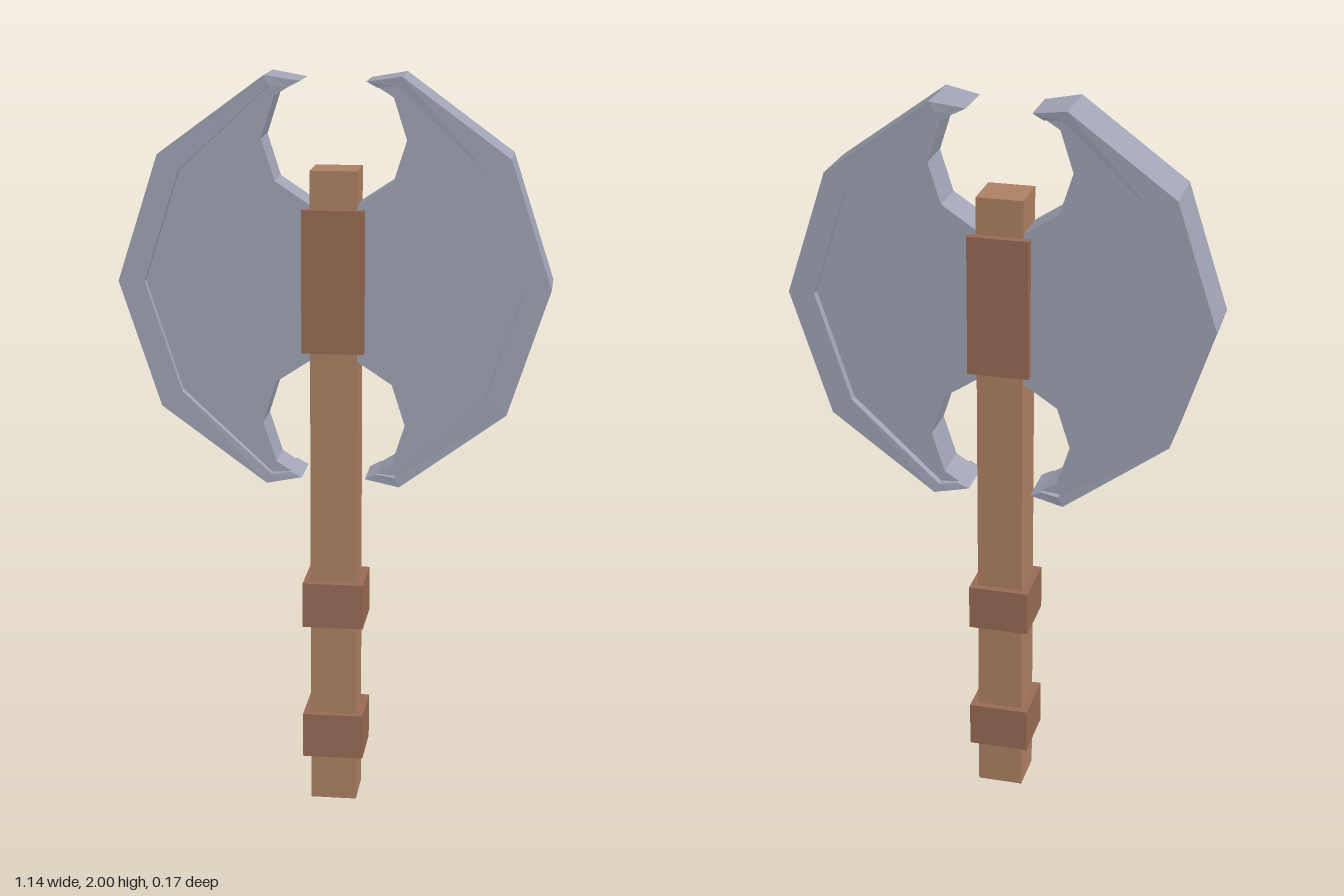
import * as THREE from 'three';

const CY = 1.458; // height of the blades' middle

const mat = (color) => new THREE.MeshStandardMaterial({ color, flatShading: true });

// Thick cutting rim: rectangular cross-sections swept from the top hook to the bottom hook
function rimGeometry() {
  // outer x, dy, half depth, inner x, dy, half depth
  const half = [
    [0.085, 0.527, 0.066, 0.115, 0.512, 0.07],
    [0.178, 0.542, 0.081, 0.165, 0.517, 0.079],
    [0.46, 0.336, 0.081, 0.405, 0.294, 0.081],
  ];
  const lower = half.map(([a, b, c, d, e, f]) => [a, -b, c, d, -e, f]).reverse();
  const rings = [...half, [0.57, 0, 0.081, 0.5, 0, 0.081], ...lower].map(([ox, oy, oz, ix, iy, iz]) => [
    [ox, CY + oy, oz], [ix, CY + iy, iz], [ix, CY + iy, -iz], [ox, CY + oy, -oz],
  ]);
  const pos = [];
  const quad = (a, b, c, d) => pos.push(...a, ...b, ...c, ...a, ...c, ...d);
  for (let i = 0; i < rings.length - 1; i++) {
    const r = rings[i], s = rings[i + 1];
    for (let k = 0; k < 4; k++) quad(r[k], r[(k + 1) % 4], s[(k + 1) % 4], s[k]);
  }
  quad(...[...rings[0]].reverse());
  quad(...rings[rings.length - 1]);
  const g = new THREE.BufferGeometry();
  g.setAttribute('position', new THREE.Float32BufferAttribute(pos, 3));
  g.computeVertexNormals();
  return g;
}

// Thinner plate filling the rim, with a scooped notch above and below
function plateGeometry() {
  const depth = 0.116;
  const half = [[0, 0.2], [0.055, 0.202], [0.155, 0.268], [0.19, 0.378], [0.155, 0.487], [0.115, 0.512],
    [0.17, 0.522], [0.43, 0.312]];
  const pts = [...half, [0.53, 0], ...half.map(([x, y]) => [x, -y]).reverse()];
  const shape = new THREE.Shape(pts.map(([x, y]) => new THREE.Vector2(x, CY + y)));
  const g = new THREE.ExtrudeGeometry(shape, { depth, bevelEnabled: false });
  return g.translate(0, 0, -depth / 2);
}

export function createModel() {
  const model = new THREE.Group();
  model.name = 'doubleAxe';
  const wood = mat(0xae8163), wrap = mat(0x996b55), steel = mat(0xa0a4b5);

  const add = (parent, name, geometry, material) => {
    const mesh = new THREE.Mesh(geometry, material);
    mesh.name = name;
    parent.add(mesh);
    return mesh;
  };
  const box = (name, w, y0, y1, d, z, material) =>
    add(model, name, new THREE.BoxGeometry(w, y1 - y0, d), material).position.set(0, (y0 + y1) / 2, z);

  // Square shaft and its two grip bands
  box('handle', 0.125, 0, 1.755, 0.125, 0, wood);
  box('lowerGripBand', 0.165, 0.13, 0.255, 0.165, 0, wrap);
  box('upperGripBand', 0.165, 0.51, 0.635, 0.165, 0, wrap);

  // Plates clamping the blades on front and back
  box('frontClampPlate', 0.165, 1.275, 1.655, 0.022, 0.072, wrap);
  box('backClampPlate', 0.165, 1.275, 1.655, 0.022, -0.072, wrap);

  // Two mirrored blades
  const rim = rimGeometry(), plate = plateGeometry();
  for (const [name, turn] of [['leftBlade', 0], ['rightBlade', Math.PI]]) {
    const blade = new THREE.Group();
    blade.name = name;
    blade.rotation.y = turn;
    add(blade, 'bladePlate', plate, steel);
    add(blade, 'bladeRim', rim, steel);
    model.add(blade);
  }
  return model;
}
